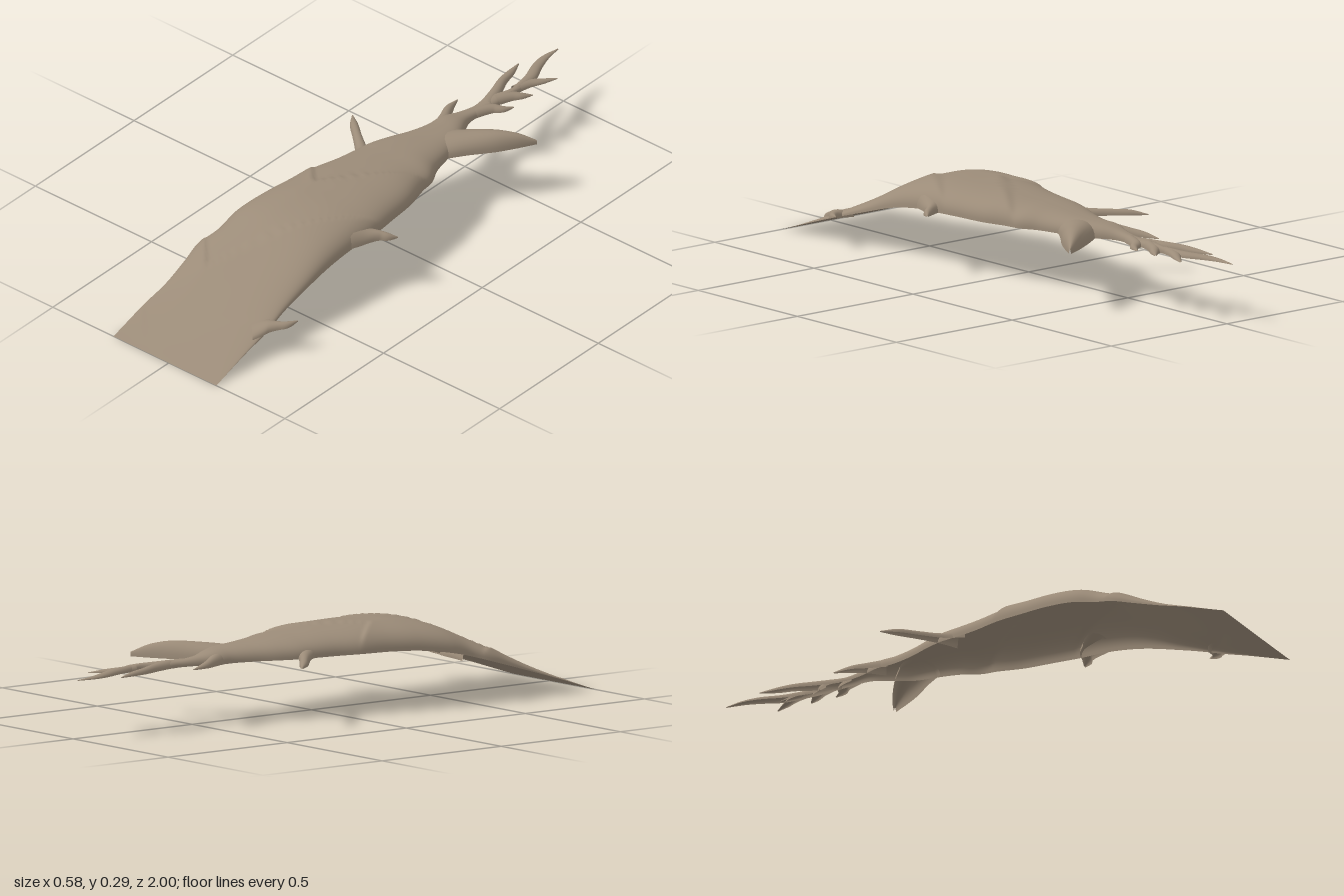
import * as THREE from 'three';

const bark = new THREE.MeshStandardMaterial({ color: 0x9b8b78, side: THREE.DoubleSide });
bark.name = 'bark brown';

// smooth lookup in a table of rows [key, a, b, ...], keys ascending
function table(rows) {
  const n = rows[0].length - 1;
  const cubic = new THREE.CubicInterpolant(rows.map(r => r[0]), rows.flatMap(r => r.slice(1)), n, new Float32Array(n));
  return t => [...cubic.evaluate(t)];
}

// underside height: level at the back, sloping to the ground in front
const baseY = table([[-1, 0.195], [0, 0.195], [0.2, 0.195], [0.32, 0.188], [0.45, 0.167], [0.6, 0.125], [0.8, 0.065], [1, 0]]);

// open arch shell from a grid of points, point(u along, v across) -> [x, y, z]
function shell(name, rows, cols, point) {
  const pos = [], index = [];
  for (let i = 0; i <= rows; i++) {
    for (let j = 0; j <= cols; j++) {
      pos.push(...point(i / rows, j / cols));
      if (i < rows && j < cols) {
        const a = i * (cols + 1) + j, c = a + cols + 1;
        index.push(a, a + 1, c, a + 1, c + 1, c);
      }
    }
  }
  const geo = new THREE.BufferGeometry();
  geo.setAttribute('position', new THREE.Float32BufferAttribute(pos, 3));
  geo.setIndex(index);
  geo.computeVertexNormals();
  const mesh = new THREE.Mesh(geo, bark);
  mesh.name = name;
  return mesh;
}

// superellipse arch, v 0..1 -> [across -1..1, up 0..1]
function arch(v, power) {
  const a = Math.PI * (1 - v), c = Math.cos(a), s = Math.max(0, Math.sin(a));
  return [Math.sign(c) * Math.abs(c) ** power, s ** power];
}

// trunk sections: z, left edge, right edge, height
const trunk = table([
  [-0.82, 0.022, 0.032, 0.006], [-0.76, 0.012, 0.042, 0.016], [-0.7, 0.018, 0.045, 0.024],
  [-0.62, -0.012, 0.04, 0.025], [-0.55, -0.01, 0.035, 0.024], [-0.48, -0.024, 0.035, 0.032],
  [-0.42, -0.045, 0.065, 0.045], [-0.36, -0.048, 0.1, 0.05], [-0.28, -0.068, 0.115, 0.056],
  [-0.2, -0.1, 0.135, 0.064], [-0.14, -0.12, 0.165, 0.069], [-0.09, -0.127, 0.172, 0.072],
  [0, -0.14, 0.195, 0.079], [0.1, -0.165, 0.207, 0.083], [0.2, -0.178, 0.216, 0.086],
  [0.3, -0.195, 0.21, 0.09], [0.42, -0.215, 0.205, 0.088], [0.5, -0.216, 0.203, 0.076],
  [0.58, -0.238, 0.2, 0.059], [0.65, -0.232, 0.2, 0.045], [0.75, -0.227, 0.208, 0.028],
  [0.85, -0.235, 0.205, 0.015], [1, -0.238, 0.205, 0.002]]);

// diagonal bark folds: corner x, corner z, slope to the right, height
const folds = [[-0.06, 0.2, -1.35, 0.009], [-0.13, 0.66, -1.37, 0.009], [-0.15, 0.95, -0.67, 0.004]];
function foldLift(x, z) {
  let lift = 0;
  for (const [x0, z0, slope, height] of folds) {
    const d = z - (z0 + (x > x0 ? slope : 1.1) * (x - x0));
    lift += height * THREE.MathUtils.smoothstep(d, -0.018, 0.008) * Math.exp(-Math.max(d, 0) / 0.13);
  }
  return lift;
}

// spikes: path points [x, z, half width, height] from root to tip
const spikes = {
  largeBranch: [[0.05, -0.31, 0.07, 0.045], [0.105, -0.37, 0.058, 0.052], [0.18, -0.44, 0.042, 0.055], [0.235, -0.493, 0.023, 0.042], [0.28, -0.535, 0.003, 0.015]],
  leftThorn: [[-0.08, -0.08, 0.045, 0.045], [-0.125, -0.125, 0.023, 0.025], [-0.19, -0.18, 0.016, 0.02], [-0.245, -0.227, 0.014, 0.017], [-0.287, -0.268, 0.002, 0.003]],
  rightUpperThorn: [[0.17, 0.29, 0.05, 0.055], [0.205, 0.245, 0.036, 0.036], [0.24, 0.215, 0.018, 0.027], [0.265, 0.2, 0.014, 0.02], [0.287, 0.177, 0.002, 0.004]],
  rightLowerThorn: [[0.16, 0.77, 0.05, 0.022], [0.195, 0.735, 0.034, 0.026], [0.225, 0.715, 0.018, 0.022], [0.25, 0.695, 0.013, 0.017], [0.268, 0.662, 0.002, 0.004]],
  leftTwig: [[-0.01, -0.4, 0.035, 0.04], [-0.045, -0.455, 0.02, 0.027], [-0.068, -0.5, 0.015, 0.018], [-0.083, -0.56, 0.002, 0.003]],
  tipTwig: [[0.03, -0.72, 0.014, 0.02], [0.018, -0.81, 0.02, 0.017], [-0.008, -0.875, 0.018, 0.014], [-0.022, -0.93, 0.013, 0.009], [-0.024, -1, 0.002, 0.002]],
  tipLeftTwig: [[0.015, -0.59, 0.025, 0.024], [-0.012, -0.67, 0.02, 0.022], [-0.038, -0.735, 0.016, 0.018], [-0.05, -0.79, 0.013, 0.013], [-0.066, -0.85, 0.002, 0.003]],
  tipRightTwig: [[0.025, -0.72, 0.016, 0.02], [0.037, -0.78, 0.018, 0.016], [0.06, -0.82, 0.013, 0.011], [0.086, -0.868, 0.002, 0.002]],
  middleRightTwig: [[0.02, -0.63, 0.02, 0.024], [0.042, -0.685, 0.02, 0.02], [0.066, -0.712, 0.014, 0.014], [0.087, -0.742, 0.002, 0.002]],
  lowerRightTwig: [[0.015, -0.53, 0.02, 0.024], [0.04, -0.59, 0.02, 0.02], [0.068, -0.612, 0.014, 0.014], [0.086, -0.648, 0.002, 0.002]],
};

function spike(name, pts) {
  const path = new THREE.CatmullRomCurve3(pts.map(([x, z]) => new THREE.Vector3(x, 0, z)));
  const size = table(pts.map(([, , w, h], i) => [i / (pts.length - 1), w, h]));
  return shell(name, 20, 12, (u, v) => {
    const p = path.getPoint(u), d = path.getTangent(u);
    const [w, h] = size(u), [c, s] = arch(v, 0.95);
    const x = p.x - d.z * c * w, z = p.z + d.x * c * w;
    return [x, baseY(p.z)[0] + s * h, z];
  });
}

export function createModel() {
  const group = new THREE.Group();
  group.name = 'hollowBranch';

  // arched trunk with folds fading towards its edges
  group.add(shell('trunk', 180, 40, (u, v) => {
    const z = 1 - 1.82 * u;
    const [left, right, height] = trunk(z), [c, s] = arch(v, 0.8);
    const x = (left + right) / 2 + c * (right - left) / 2;
    return [x, baseY(z)[0] + s * (height - 0.003) + Math.min(s * 1.5, 1) * foldLift(x, z) * Math.min(1, height / 0.03), z];
  }));

  for (const [name, pts] of Object.entries(spikes)) group.add(spike(name, pts));
  return group;
}
